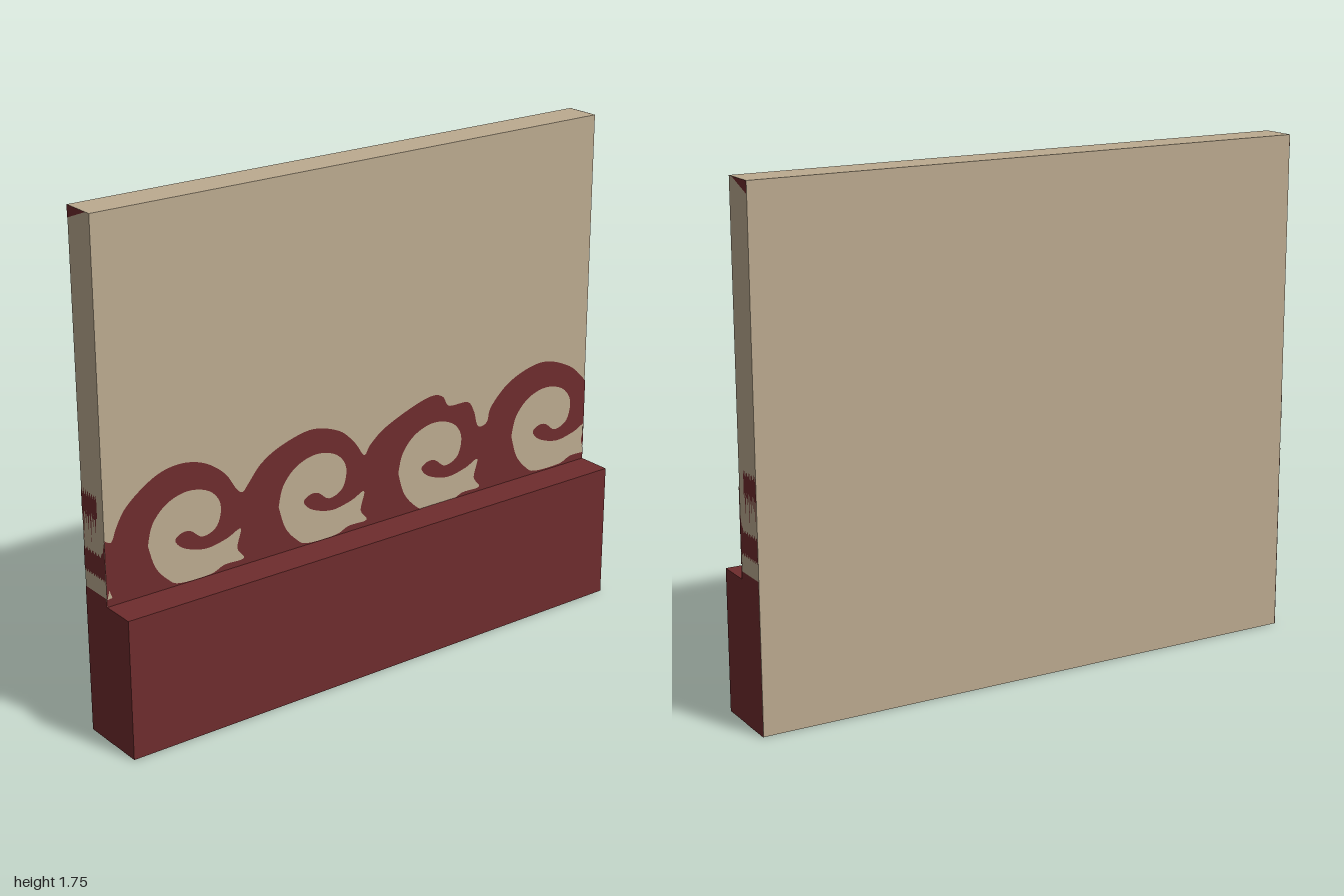
import * as THREE from 'three';

const red = new THREE.MeshStandardMaterial({ color: 0x6e2c2d, side: THREE.DoubleSide });
red.name = 'dark red paint';
const tan = new THREE.MeshStandardMaterial({ color: 0xbcab90 });
tan.name = 'tan plaster';

const DEPTH = 0.125, HEIGHT = 1.75, BASE = 0.485;

function part(name, geometry, material, x = 0, y = 0, z = 0) {
  const mesh = new THREE.Mesh(geometry, material);
  mesh.name = name;
  mesh.position.set(x, y, z);
  return mesh;
}

// Smooth curve through [x, y] pairs
const smooth = (pts, n) => new THREE.SplineCurve(pts.map(p => new THREE.Vector2(...p))).getPoints(n);

// Crest line of the four waves, left to right
const CREST = [
  [-1, 0.71], [-0.975, 0.70], [-0.955, 0.745], [-0.92, 0.80], [-0.85, 0.855], [-0.78, 0.888], [-0.70, 0.895],
  [-0.62, 0.872], [-0.55, 0.82], [-0.51, 0.76], [-0.485, 0.74],
  [-0.46, 0.765], [-0.41, 0.82], [-0.33, 0.862], [-0.21, 0.888], [-0.10, 0.857], [-0.035, 0.80], [0.005, 0.745],
  [0.03, 0.775], [0.09, 0.82], [0.20, 0.865], [0.29, 0.888], [0.34, 0.875], [0.37, 0.835], [0.45, 0.83],
  [0.48, 0.79], [0.50, 0.73], [0.54, 0.735], [0.56, 0.79], [0.65, 0.865], [0.79, 0.90], [0.92, 0.857], [1, 0.785],
];

// Scroll-shaped opening inside one wave, with the curl reaching into it
const SCROLL = [
  [-0.845, 0.65], [-0.825, 0.72], [-0.77, 0.775], [-0.69, 0.797], [-0.61, 0.775], [-0.57, 0.72], [-0.585, 0.65],
  [-0.64, 0.627], [-0.685, 0.658], [-0.72, 0.66], [-0.744, 0.64], [-0.71, 0.605], [-0.63, 0.582], [-0.55, 0.595],
  [-0.495, 0.615], [-0.51, 0.55], [-0.485, 0.508], [-0.56, 0.506], [-0.615, 0.488], [-0.73, 0.49],
  [-0.775, 0.515], [-0.82, 0.57], [-0.845, 0.65],
];

function waveFrieze() {
  const shape = new THREE.Shape([
    new THREE.Vector2(-1, 0.45), new THREE.Vector2(1, 0.45), ...smooth(CREST, 200).reverse(),
  ]);
  const waves = [[0, 0], [0.5, 0], [0.995, -0.008], [1.5, 0.004]];
  for (const [dx, dy] of waves) {
    const pts = smooth(SCROLL, 110).slice(0, -1);
    pts.forEach(p => p.set(Math.min(p.x + dx, 0.9985), Math.max(p.y + dy, 0.475)));
    shape.holes.push(new THREE.Path(pts));
  }
  // Sliver of the neighbouring scroll at the left edge
  shape.holes.push(new THREE.Path([[-0.998, 0.51], [-0.98, 0.512], [-0.99, 0.54]].map(p => new THREE.Vector2(...p))));
  return new THREE.ShapeGeometry(shape);
}

// Ragged painted strip between two heights, u running front to back
function raggedShape(u0, u1, low, high, rough) {
  const N = 24, top = [], bottom = [];
  for (let i = 0; i <= N; i++) {
    const u = u0 + (u1 - u0) * i / N;
    bottom.push(new THREE.Vector2(u, low + rough * Math.sin(i * 2.3)));
    top.push(new THREE.Vector2(u, high(u) + rough * Math.sin(i * 1.9 + 1)));
  }
  return new THREE.Shape([...bottom, ...top.reverse()]);
}

function endPaint() {
  const shapes = [
    raggedShape(0, DEPTH, 0, () => 0.512, 0),
    raggedShape(0, DEPTH, 0.571, u => 0.648 + Math.max(0, 0.05 - u * 2.5), 0.007),
    raggedShape(0.035, DEPTH, 0.768, () => 0.84, 0.012),
    new THREE.Shape([[0.02, HEIGHT], [DEPTH, 1.71], [DEPTH, HEIGHT]].map(p => new THREE.Vector2(...p))),
  ];
  // Thin drips below the upper blotch
  for (let i = 0; i < 6; i++) {
    const u = 0.046 + i * 0.014, tip = 0.70 + 0.035 * Math.sin(i * 2.1);
    shapes.push(new THREE.Shape([[u - 0.004, 0.775], [u, tip], [u + 0.004, 0.775]].map(p => new THREE.Vector2(...p))));
  }
  return new THREE.ShapeGeometry(shapes);
}

export function createModel() {
  const group = new THREE.Group();
  group.name = 'wallSection';

  // Wall panel and projecting plinth
  group.add(part('wallPanel', new THREE.BoxGeometry(1.998, HEIGHT - 0.001, DEPTH), tan, 0, (HEIGHT + 0.001) / 2, -DEPTH / 2));
  group.add(part('plinth', new THREE.BoxGeometry(2, BASE - 0.001, DEPTH),
    [red, red, red, tan, red, red], 0, (BASE + 0.001) / 2, DEPTH / 2));

  // Painted scroll waves on the front
  group.add(part('waveFrieze', waveFrieze(), red, 0, 0, 0.002));

  // Painted ends of the panel
  const ends = endPaint();
  for (const side of [-1, 1]) {
    const end = part(side > 0 ? 'leftEndPaint' : 'rightEndPaint', ends, red, side);
    end.rotation.y = Math.PI / 2;
    group.add(end);
  }

  // Ragged stripe on the underside
  const stripe = part('undersideStripe',
    new THREE.ShapeGeometry(raggedShape(-0.98, 0.99, 0.018, () => 0.05, 0.005)), red);
  stripe.rotation.x = -Math.PI / 2;
  group.add(stripe);
  return group;
}
